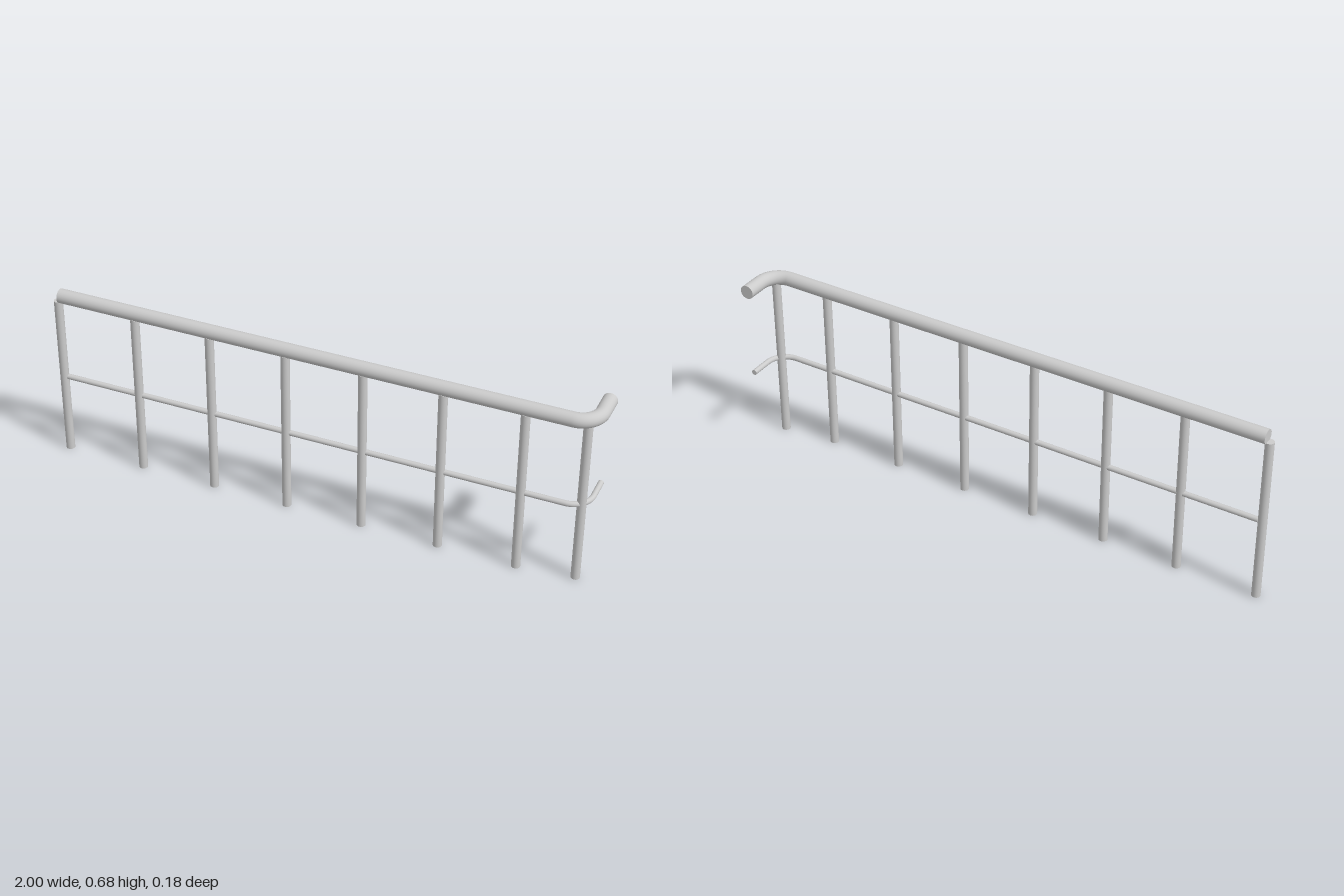
import * as THREE from 'three';

const material = new THREE.MeshStandardMaterial({ color: 0xcccccc });
const BACK_Z = -0.09;      // rear end of both rails
const BEND = 0.075;        // centreline radius of the corner
const SIDES = 24;

function addMesh(parent, name, geometry, x, y, z) {
  const mesh = new THREE.Mesh(geometry, material);
  mesh.name = name;
  mesh.position.set(x, y, z);
  parent.add(mesh);
  return mesh;
}

// A round bar running along x, then turning through a quarter bend towards the back
function makeRail(name, radius, startX, sideX, y, frontZ) {
  const rail = new THREE.Group();
  rail.name = name;
  const bendX = sideX - BEND;
  const bendZ = frontZ - BEND;

  const length = bendX - startX;
  const straight = new THREE.CylinderGeometry(radius, radius, length, SIDES).rotateZ(Math.PI / 2);
  addMesh(rail, name + 'Straight', straight, startX + length / 2, y, frontZ);

  const bend = new THREE.TorusGeometry(BEND, radius, SIDES, 16, Math.PI / 2).rotateX(Math.PI / 2);
  addMesh(rail, name + 'Bend', bend, bendX, y, bendZ);

  const depth = bendZ - BACK_Z;
  const end = new THREE.CylinderGeometry(radius, radius, depth, SIDES).rotateX(Math.PI / 2);
  addMesh(rail, name + 'Return', end, sideX, y, BACK_Z + depth / 2);
  return rail;
}

export function createModel() {
  const model = new THREE.Group();
  model.name = 'railing';

  // Thick handrail and thin middle rail
  model.add(makeRail('handrail', 0.026, -0.978, 0.974, 0.649, 0.064));
  model.add(makeRail('middleRail', 0.01, -0.97, 0.969, 0.313, 0.066));

  // Posts: a straight row, plus one under the corner bend
  const postHeight = 0.63;
  const postRadius = 0.016;
  const postGeometry = new THREE.CylinderGeometry(postRadius, postRadius, postHeight, SIDES);
  [-0.984, -0.683, -0.397, -0.113, 0.171, 0.456, 0.741].forEach((x, i) => {
    addMesh(model, 'post' + (i + 1), postGeometry, x, postHeight / 2, 0.068);
  });
  addMesh(model, 'cornerPost', postGeometry, 0.945, postHeight / 2, 0.044);

  return model;
}
